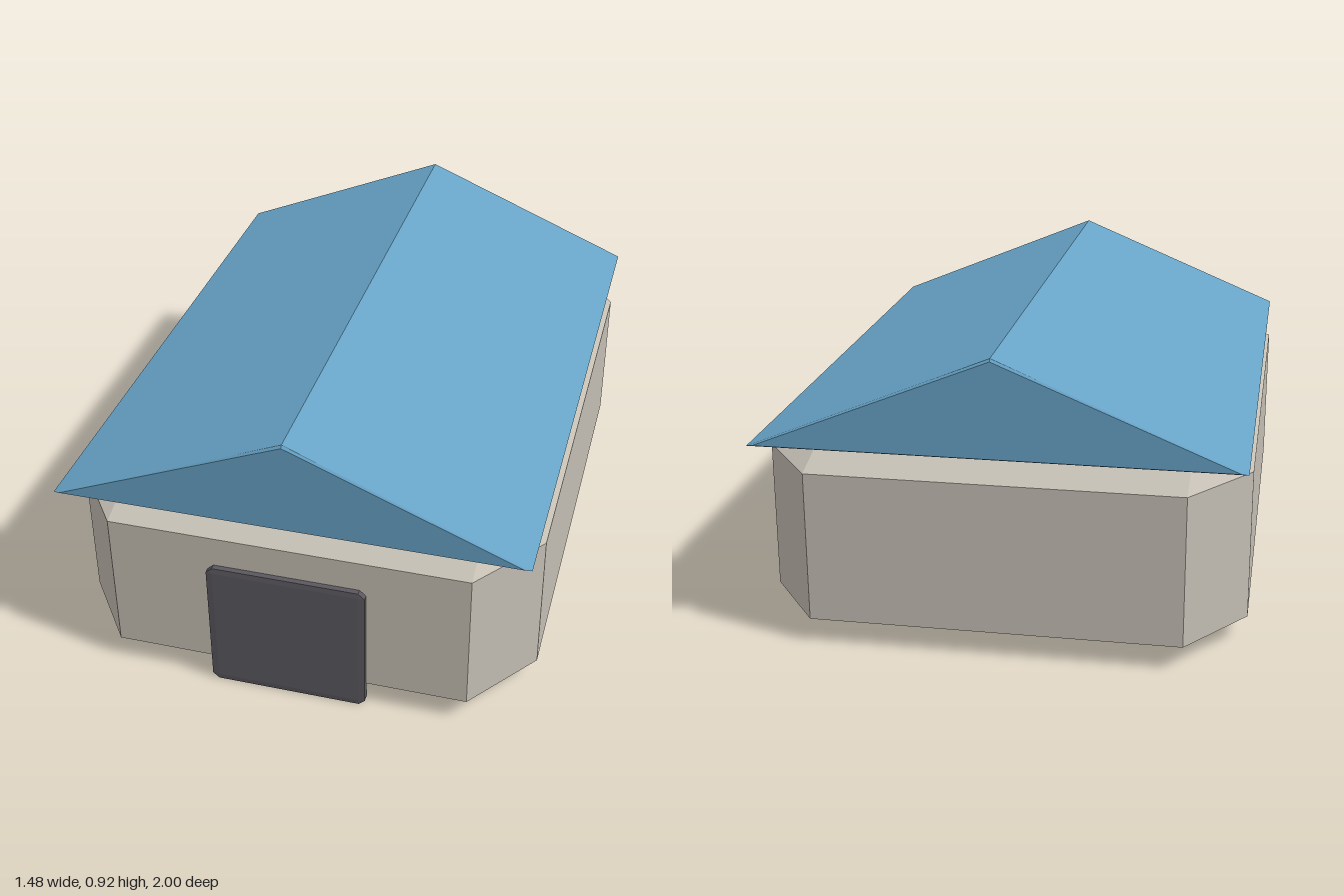
import * as THREE from 'three';
import { ConvexGeometry } from 'three/addons/geometries/ConvexGeometry.js';

// Hull mesh with crisp flat faces
function hullMesh(name, points, color) {
  const material = new THREE.MeshStandardMaterial({ color, flatShading: true });
  const mesh = new THREE.Mesh(new ConvexGeometry(points), material);
  mesh.name = name;
  return mesh;
}

// Box with every edge and corner cut; half sizes (x, y, z) and cut lengths (cx, cy, cz)
function chamferedBoxPoints([x, y, z], [cx, cy, cz]) {
  const points = [];
  for (const sx of [-1, 1]) for (const sy of [-1, 1]) for (const sz of [-1, 1]) {
    points.push(
      new THREE.Vector3(sx * x, sy * (y - cy), sz * (z - cz)),
      new THREE.Vector3(sx * (x - cx), sy * y, sz * (z - cz)),
      new THREE.Vector3(sx * (x - cx), sy * (y - cy), sz * z),
    );
  }
  return points;
}

// Triangular cross-section of the roof at depth z
function gable(halfWidth, base, apex, z) {
  return [
    new THREE.Vector3(-halfWidth, base, z),
    new THREE.Vector3(halfWidth, base, z),
    new THREE.Vector3(0, apex, z),
  ];
}

export function createModel() {
  const group = new THREE.Group();
  group.name = 'house';

  // Walls: one heavily chamfered block
  const walls = hullMesh('walls', chamferedBoxPoints([0.742, 0.309, 0.99], [0.177, 0.074, 0.237]), 0xc4beb3);
  walls.position.set(0, 0.314, -0.01);
  group.add(walls);

  // Gabled roof with a thin bevel around both ends
  const roof = hullMesh('roof', [
    ...gable(0.715, 0.628, 0.92, -1),
    ...gable(0.735, 0.624, 0.928, -0.993),
    ...gable(0.735, 0.624, 0.928, 0.973),
    ...gable(0.715, 0.628, 0.92, 0.98),
  ], 0x67a3c6);
  group.add(roof);

  // Door slab on the front wall
  const door = hullMesh('door', chamferedBoxPoints([0.249, 0.223, 0.014], [0.02, 0.018, 0.002]), 0x5a585e);
  door.position.set(0, 0.226, 0.986);
  group.add(door);

  return group;
}
